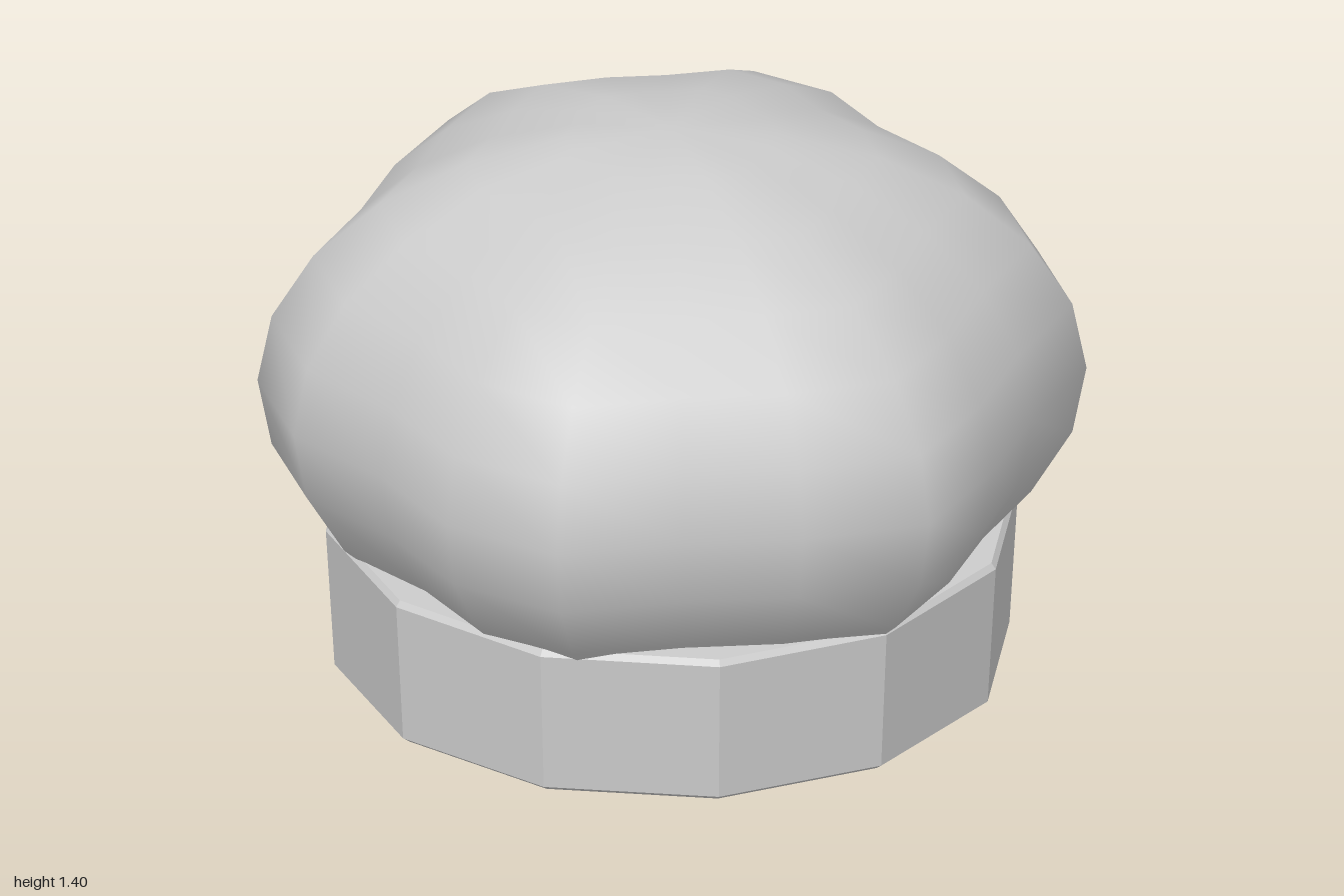
import * as THREE from 'three';
import { mergeVertices, toCreasedNormals } from 'three/addons/utils/BufferGeometryUtils.js';

// Puffy crown: a squashed ball whose radius swells into six soft lobes
function crownGeometry() {
  let geo = new THREE.SphereGeometry(1, 20, 12);
  geo.deleteAttribute('uv');
  geo.deleteAttribute('normal');
  geo = mergeVertices(geo, 1e-4); // close the seam so shading stays smooth
  const p = geo.attributes.position;
  for (let i = 0; i < p.count; i++) {
    const x = p.getX(i), z = p.getZ(i);
    const lobe = 0.94 + 0.06 * Math.cos(6 * Math.atan2(z, x));
    p.setXYZ(i, x * lobe, 0.743 + 0.66 * p.getY(i), z * lobe);
  }
  geo.computeVertexNormals();
  return geo;
}

// Twelve-sided head band, slightly flared, with small bevels at both rims
function bandGeometry() {
  const profile = [
    [0, 0], [0.4, 0.002], [0.795, 0.009], [0.812, 0.022],
    [0.833, 0.38], [0.822, 0.395], [0.6, 0.395],
  ].map(([r, y]) => new THREE.Vector2(r, y));
  const geo = new THREE.LatheGeometry(profile, 12);
  geo.deleteAttribute('uv');
  return toCreasedNormals(geo, 0.35);
}

export function createModel() {
  const cloth = new THREE.MeshStandardMaterial({ color: 0xcccccc });
  cloth.name = 'pale grey cloth';

  const group = new THREE.Group();
  group.name = 'puffyHat';

  const crown = new THREE.Mesh(crownGeometry(), cloth);
  crown.name = 'crown';
  const band = new THREE.Mesh(bandGeometry(), cloth);
  band.name = 'headBand';

  group.add(crown, band);
  return group;
}
